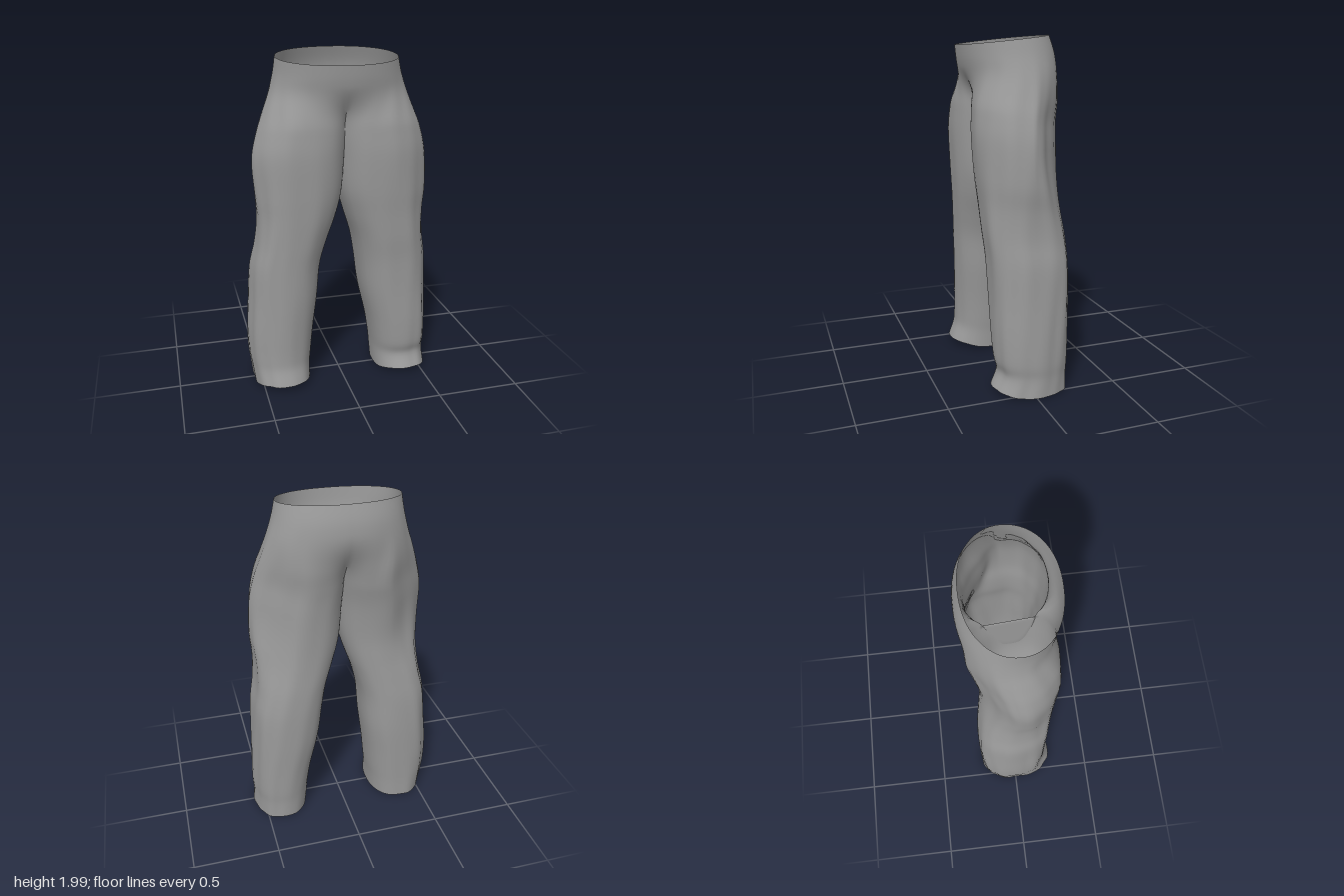
import * as THREE from 'three';
import { mergeVertices } from 'three/addons/utils/BufferGeometryUtils.js';

// Height, then outer x, inner x, front z, back z for the left leg and for the right leg
const ROWS = [
  [1.97, 0.338, -0.03, 0.272, -0.235, 0.36, -0.03, 0.272, -0.235],
  [1.88, 0.362, -0.03, 0.264, -0.266, 0.37, -0.03, 0.264, -0.266],
  [1.78, 0.397, -0.03, 0.25, -0.273, 0.395, -0.03, 0.25, -0.273],
  [1.67, 0.437, -0.03, 0.248, -0.26, 0.438, -0.03, 0.248, -0.26],
  [1.55, 0.478, -0.03, 0.25, -0.232, 0.48, -0.03, 0.25, -0.232],
  [1.40, 0.51, -0.015, 0.258, -0.224, 0.512, -0.015, 0.258, -0.205],
  [1.20, 0.52, 0.002, 0.248, -0.222, 0.502, 0.002, 0.25, -0.185],
  [1.05, 0.508, 0.042, 0.235, -0.228, 0.492, 0.038, 0.24, -0.19],
  [0.90, 0.512, 0.09, 0.225, -0.24, 0.505, 0.09, 0.228, -0.205],
  [0.75, 0.535, 0.118, 0.21, -0.247, 0.537, 0.128, 0.218, -0.22],
  [0.55, 0.547, 0.145, 0.202, -0.245, 0.553, 0.145, 0.212, -0.228],
  [0.35, 0.557, 0.19, 0.2, -0.235, 0.568, 0.17, 0.207, -0.226],
  [0.20, 0.56, 0.215, 0.192, -0.228, 0.567, 0.185, 0.206, -0.222],
  [0.11, 0.555, 0.225, 0.175, -0.222, 0.557, 0.195, 0.214, -0.22],
  [0.008, 0.56, 0.232, 0.212, -0.222, 0.545, 0.2, 0.246, -0.22],
];
const CROTCH = 4;            // row where the hips split into legs
const STEPS = 5;             // rings between two rows
const ARC = 48, INNER = 18;  // segments on the outer arc and along the inseam
const A = Math.PI * 5 / 6;   // half the outer arc's angle
const { lerp, mapLinear, smoothstep, clamp } = THREE.MathUtils;

// Catmull-Rom value of one column at a fractional row
function column(c, u) {
  const i = Math.min(Math.floor(u), ROWS.length - 2), f = u - i;
  const at = k => ROWS[clamp(k, 0, ROWS.length - 1)][c];
  const p = at(i - 1), q = at(i), r = at(i + 1), s = at(i + 2);
  return q + 0.5 * f * (r - p + f * (2 * p - 5 * q + 4 * r - s + f * (3 * (q - r) + s - p)));
}

const power = (v, e) => Math.sign(v) * Math.abs(v) ** e;

// One point of the cloth: u runs down the rows, t runs round from front to back
function clothPoint(side, u, j) {
  const o = side > 0 ? 1 : 5;
  const y = column(0, u);
  const [outer, inner, front, back] = [0, 1, 2, 3].map(k => column(o + k, u));
  const onArc = j <= ARC;
  const t = onArc ? -A + 2 * A * j / ARC : A + (2 * Math.PI - 2 * A) * (j - ARC) / INNER;
  const cz = (front + back) / 2, hz = (front - back) / 2;

  // Leg section: squarish, but rounder at the hem and on the outer thigh
  const cos = Math.cos(t), sin = Math.sin(t);
  const thigh = smoothstep(y, 0.85, 1.4);
  const e = lerp(0.88, 0.8, smoothstep(y, 0, 0.8)) + (cos > 0 ? 0.2 * thigh : 0);
  let x = (outer + inner) / 2 + (outer - inner) / 2 * power(cos, e);
  let z = cz - hz * power(sin, e);
  // The thigh slants in towards its outer back
  z += 0.12 * thigh * Math.max(0, cos) * Math.max(0, sin);

  // Blend to a single oval at the hips; the thighs just meet below
  if (u <= CROTCH) {
    const a = t / A * Math.PI / 2;
    const w = 1 - smoothstep(y, 1.53, 1.83);
    x = lerp(outer * power(Math.cos(a), 0.92), x, w);
    z = lerp(cz - hz * power(Math.sin(a), 0.95), z, w);
    x = (j === 0 || j >= ARC) ? 0 : Math.max(x, 0);
  } else x = Math.max(x, -0.002);

  // Soft lengthwise folds, fading at the waist and inseam
  if (onArc) {
    const fade = Math.max(0, Math.cos(t * Math.PI / 2 / A)) * smoothstep(1.95 - y, 0, 0.4);
    const fold = 0.0035 * fade * (Math.sin(7 * t + 3 * y + side) + 0.7 * Math.sin(12 * t - 5 * y + 2 * side));
    x += fold * cos;
    z -= fold * sin;
  }

  // Waist drops to the front, crotch rises to the front, hems curl up at the front
  const slope = y > 1.55 ? mapLinear(y, 1.55, 1.97, 0.18, -0.11) : mapLinear(y, 0, 1.55, 0.02, 0.18);
  const curl = 0.03 * smoothstep(z, 0.06, 0.24) * (1 - smoothstep(y, 0, 0.2));
  return [side * x, y + slope * z + curl, z];
}

function createCloth() {
  const positions = [], index = [];
  const last = (ROWS.length - 1) * STEPS, split = CROTCH * STEPS, ring = ARC + INNER;
  for (const side of [1, -1]) {
    const base = positions.length / 3;
    for (let r = 0; r <= last; r++)
      for (let j = 0; j < ring; j++) positions.push(...clothPoint(side, r / STEPS, j));
    for (let r = 0; r < last; r++) {
      // Hips use the open outer arc, legs the whole ring
      const count = r < split ? ARC : ring;
      for (let j = 0; j < count; j++) {
        const k = (j + 1) % ring;
        const a = base + r * ring + j, b = base + r * ring + k;
        const c = a + ring, d = b + ring;
        if (side > 0) index.push(a, c, b, b, c, d);
        else index.push(a, b, c, b, d, c);
      }
    }
  }
  const geometry = new THREE.BufferGeometry();
  geometry.setAttribute('position', new THREE.Float32BufferAttribute(positions, 3));
  geometry.setIndex(index);
  const welded = mergeVertices(geometry, 1e-5);
  welded.computeVertexNormals();
  return welded;
}

export function createModel() {
  const cloth = new THREE.MeshStandardMaterial({ color: 0x999999, side: THREE.DoubleSide });
  cloth.name = 'grey cloth';
  const trousers = new THREE.Mesh(createCloth(), cloth);
  trousers.name = 'trousers';
  const group = new THREE.Group();
  group.name = 'trousers model';
  group.add(trousers);
  return group;
}
